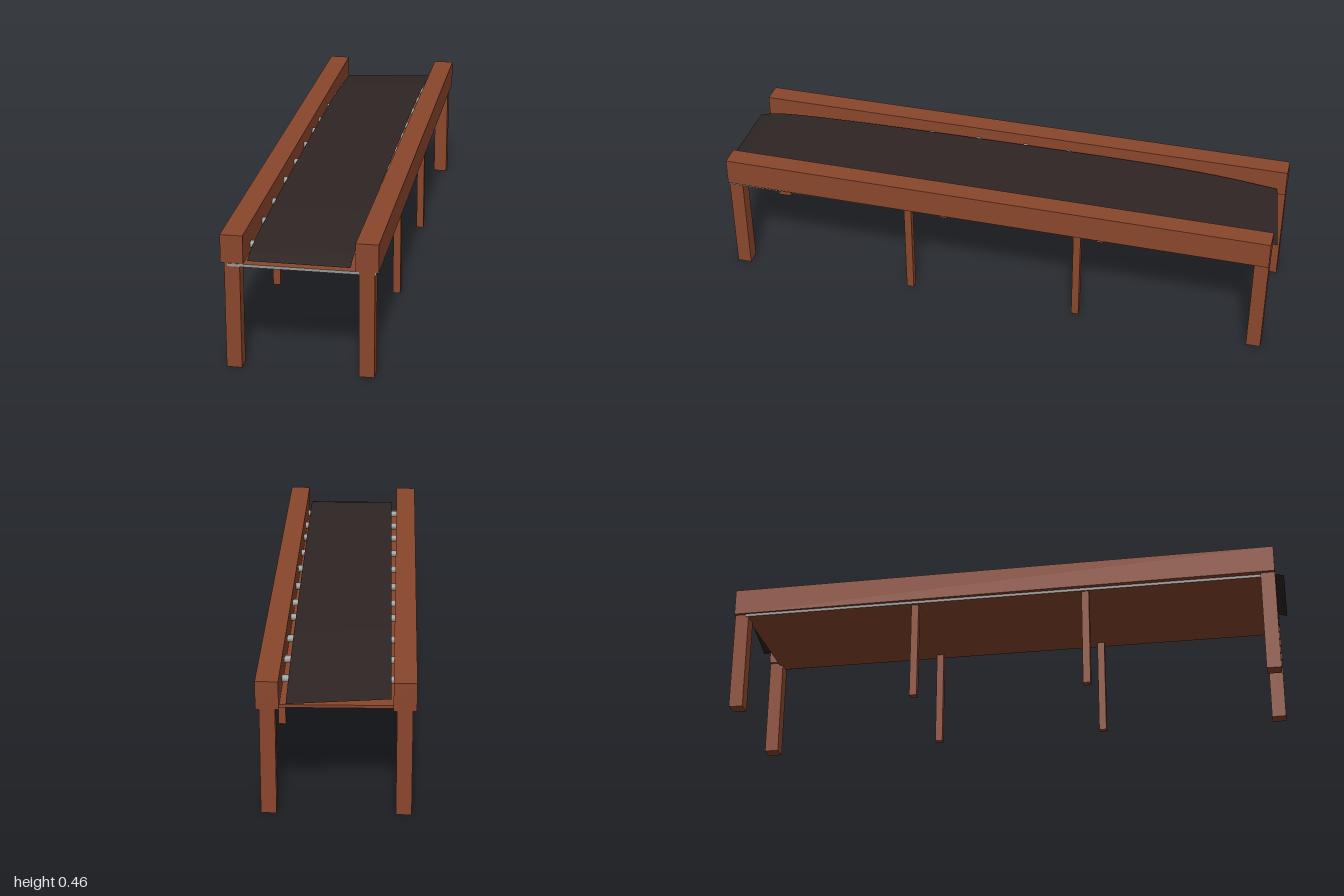
import * as THREE from 'three';

const wood = new THREE.MeshStandardMaterial({ name: 'redBrownWood', color: 0x8a462c });
const metal = new THREE.MeshStandardMaterial({ name: 'greyMetal', color: 0x989896 });
const rubber = new THREE.MeshStandardMaterial({ name: 'darkRubber', color: 0x2f2525, side: THREE.DoubleSide });

// Belt profile from back to front: [t along the belt (0..1), height]
const beltProfile = new THREE.CatmullRomCurve3([
  [0, 0.39], [0.1, 0.409], [0.22, 0.42], [0.5, 0.424], [0.8, 0.42],
  [0.92, 0.413], [0.97, 0.404], [1, 0.388],
].map(([t, y]) => new THREE.Vector3(0, y, t)));

function box(name, min, max, material) {
  const mesh = new THREE.Mesh(
    new THREE.BoxGeometry(max[0] - min[0], max[1] - min[1], max[2] - min[2]), material);
  mesh.position.set(...min.map((v, i) => (v + max[i]) / 2));
  mesh.name = name;
  return mesh;
}

// Arched sheet with a slanted back edge and a slight skew to one side
function beltGeometry() {
  const geometry = new THREE.PlaneGeometry(0.327, 1, 6, 60).rotateX(-Math.PI / 2);
  const pos = geometry.attributes.position;
  for (let i = 0; i < pos.count; i++) {
    const x = pos.getX(i);
    const p = beltProfile.getPoint(THREE.MathUtils.clamp(pos.getZ(i) + 0.5, 0, 1));
    const back = -0.978 - 0.138 * x;
    pos.setXYZ(i, x + THREE.MathUtils.lerp(-0.008, 0.005, p.z), p.y,
      THREE.MathUtils.lerp(back, 1, p.z));
  }
  geometry.computeVertexNormals();
  return geometry;
}

export function createModel() {
  const model = new THREE.Group();
  model.name = 'conveyor';

  // Side rails and legs, mirrored left and right
  for (const [side, label] of [[1, 'left'], [-1, 'right']]) {
    const span = (a, b) => (side > 0 ? [a, b] : [-b, -a]);
    const add = (name, a, b, y0, y1, z0, z1) => {
      const [x0, x1] = span(a, b);
      model.add(box(`${label}${name}`, [x0, y0, z0], [x1, y1, z1], wood));
    };
    add('Rail', 0.179, 0.252, 0.363, 0.458, -0.985, 0.97);
    add('FrontLeg', 0.19, 0.24, 0, 0.363, 0.92, 0.97);
    add('BackLeg', 0.19, 0.24, 0, 0.363, -0.985, -0.935);
    for (const [name, z] of [['MiddleFrontLeg', 0.302], ['MiddleBackLeg', -0.315]]) {
      add(name, 0.202, 0.228, 0, 0.355, z - 0.013, z + 0.013);
    }
  }

  // Bottom board with metal edging, set slightly askew
  const board = box('bottomBoard', [-0.237, 0.353, -0.945], [0.237, 0.363, 0.97],
    [metal, metal, wood, wood, metal, wood]);
  board.rotation.y = 0.008;
  model.add(board);

  // Rollers under the belt
  const rollers = new THREE.Group();
  rollers.name = 'rollers';
  const rollerGeometry = new THREE.CylinderGeometry(0.0125, 0.0125, 0.37, 16).rotateZ(Math.PI / 2);
  for (const z of [-0.8, -0.66, -0.5, -0.32, -0.19, -0.03, 0.15, 0.33, 0.52, 0.68, 0.855]) {
    const roller = new THREE.Mesh(rollerGeometry, metal);
    roller.name = 'roller';
    roller.position.set(0, 0.408 - 0.032 * Math.pow(Math.abs(z), 2), z);
    rollers.add(roller);
  }
  model.add(rollers);

  const belt = new THREE.Mesh(beltGeometry(), rubber);
  belt.name = 'belt';
  model.add(belt);

  return model;
}
